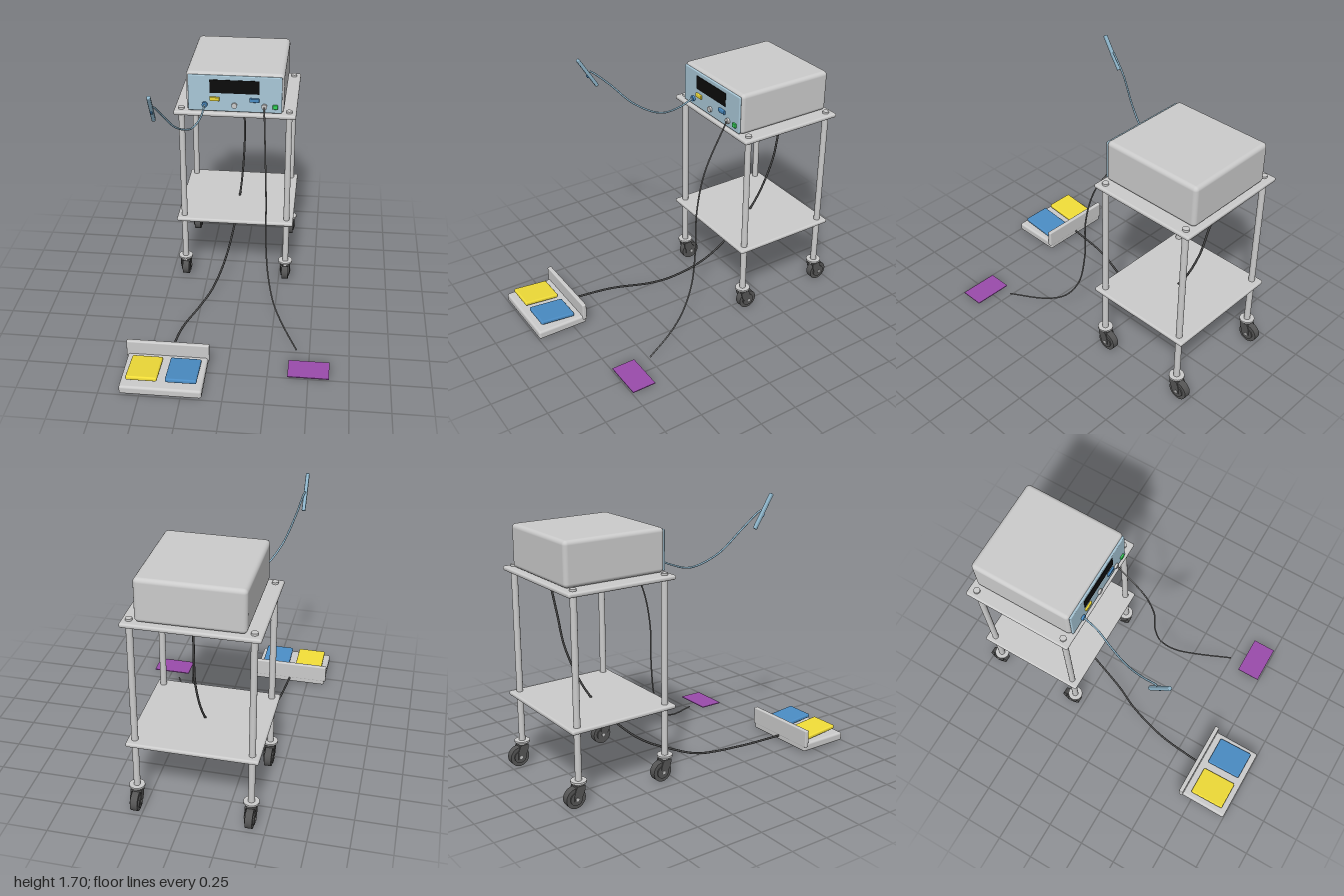
import * as THREE from 'three';
import { RoundedBoxGeometry } from 'three/addons/geometries/RoundedBoxGeometry.js';

const mat = (color) => new THREE.MeshStandardMaterial({ color });
const grey = mat(0xcccccc), panelBlue = mat(0xa9c8d8), blue = mat(0x4a8cc4), yellow = mat(0xf0dc38);
const black = mat(0x0c0c0c), green = mat(0x35d85c), purple = mat(0x9a4bab), dark = mat(0x555555);
const cordDark = mat(0x4a4a4a), cordGrey = mat(0x777777), steelBlue = mat(0x8fb6cb);

function add(parent, name, geometry, material, x = 0, y = 0, z = 0) {
  const mesh = new THREE.Mesh(geometry, material);
  mesh.name = name;
  mesh.position.set(x, y, z);
  parent.add(mesh);
  return mesh;
}

// Box given by its extents on each axis; r rounds the edges
function block(parent, name, material, [x0, x1], [y0, y1], [z0, z1], r = 0) {
  const s = [x1 - x0, y1 - y0, z1 - z0];
  const g = r ? new RoundedBoxGeometry(...s, 3, r) : new THREE.BoxGeometry(...s);
  return add(parent, name, g, material, (x0 + x1) / 2, (y0 + y1) / 2, (z0 + z1) / 2);
}

function cord(parent, name, material, radius, points) {
  const curve = new THREE.CatmullRomCurve3(points.map((p) => new THREE.Vector3(...p)));
  add(parent, name, new THREE.TubeGeometry(curve, 80, radius, 8), material);
}

// Swivel caster with its origin on the floor below the pole
function caster() {
  const g = new THREE.Group();
  g.name = 'caster';
  add(g, 'casterPlate', new THREE.CylinderGeometry(0.048, 0.048, 0.012, 24), grey, 0, 0.16, 0);
  add(g, 'casterSwivel', new THREE.CylinderGeometry(0.026, 0.026, 0.03, 20), grey, 0, 0.142, 0);
  const axle = [0, 0.063, -0.03];
  const across = (r, w) => new THREE.CylinderGeometry(r, r, w, 32).rotateZ(Math.PI / 2);
  add(g, 'wheel', across(0.063, 0.044), dark, ...axle);
  add(g, 'wheelHub', across(0.04, 0.06), dark, ...axle);
  add(g, 'wheelAxle', across(0.01, 0.076), grey, ...axle);
  // Fork cheeks sweep back from the swivel to the axle
  const cheek = new THREE.Shape();
  cheek.moveTo(-0.026, 0.14);
  cheek.lineTo(0.026, 0.14);
  cheek.quadraticCurveTo(0.03, 0.09, -0.014, 0.048);
  cheek.lineTo(-0.046, 0.048);
  cheek.quadraticCurveTo(-0.05, 0.1, -0.026, 0.14);
  const cheekGeo = new THREE.ExtrudeGeometry(cheek, { depth: 0.006, bevelEnabled: false, curveSegments: 8 })
    .translate(0, 0, -0.003).rotateY(-Math.PI / 2);
  for (const s of [-1, 1]) add(g, 'forkCheek', cheekGeo, dark, s * 0.031, 0, 0);
  block(g, 'forkBridge', dark, [-0.034, 0.034], [0.126, 0.138], [-0.028, 0.024]);
  return g;
}

function cart() {
  const g = new THREE.Group();
  g.name = 'cart';
  for (const y of [1.264, 0.466])
    block(g, 'shelf', grey, [-0.45, 0.34], [y, y + 0.028], [-0.965, -0.25], 0.012);
  for (const x of [-0.403, 0.295]) for (const z of [-0.303, -0.91]) {
    add(g, 'pole', new THREE.CylinderGeometry(0.02, 0.02, 1.145, 24), grey, x, 0.7325, z);
    const c = caster();
    c.position.set(x, 0, z);
    g.add(c);
  }
  return g;
}

function generator() {
  const g = new THREE.Group();
  g.name = 'generator';
  block(g, 'housing', grey, [-0.366, 0.261], [1.293, 1.56], [-0.937, -0.274], 0.026);
  block(g, 'frontPanel', panelBlue, [-0.353, 0.249], [1.3, 1.546], [-0.277, -0.262], 0.007);
  block(g, 'display', black, [-0.213, 0.105], [1.428, 1.518], [-0.27, -0.259]);
  block(g, 'yellowButton', yellow, [-0.213, -0.15], [1.374, 1.401], [-0.268, -0.25], 0.005);
  block(g, 'blueButton', blue, [0.041, 0.105], [1.374, 1.401], [-0.268, -0.25], 0.005);
  block(g, 'powerLamp', green, [0.19, 0.223], [1.332, 1.36], [-0.268, -0.25], 0.004);
  for (const [x, m] of [[-0.245, blue], [-0.055, grey], [0.137, grey]])
    add(g, 'socket', new THREE.CylinderGeometry(0.018, 0.018, 0.018, 24).rotateX(Math.PI / 2), m, x, 1.347, -0.257);
  return g;
}

function footSwitch() {
  const g = new THREE.Group();
  g.name = 'footSwitch';
  block(g, 'pedalBase', grey, [-0.622, -0.122], [0.003, 0.06], [0.656, 0.997], 0.015);
  block(g, 'pedalGuard', grey, [-0.632, -0.114], [0.035, 0.152], [0.655, 0.684], 0.008);
  for (const [x, m] of [[-0.49, yellow], [-0.251, blue]]) {
    const p = add(g, 'pedal', new RoundedBoxGeometry(0.19, 0.027, 0.235, 3, 0.01), m, x, 0.084, 0.843);
    p.rotation.x = -0.1;
    block(g, 'pedalPivot', grey, [x - 0.06, x + 0.06], [0.055, 0.075], [0.76, 0.8]);
  }
  return g;
}

function handpiece() {
  const g = new THREE.Group();
  g.name = 'handpiece';
  add(g, 'handle', new RoundedBoxGeometry(0.023, 0.238, 0.022, 3, 0.006), steelBlue);
  add(g, 'handleButton', new RoundedBoxGeometry(0.012, 0.022, 0.012, 2, 0.003), blue, 0, -0.02, 0.013);
  g.position.set(-0.464, 1.597, 0.38);
  g.rotation.x = 0.56;
  return g;
}

export function createModel() {
  const model = new THREE.Group();
  model.name = 'electrosurgicalCart';
  model.add(cart(), generator(), footSwitch(), handpiece());
  block(model, 'returnPad', purple, [0.373, 0.628], [0.002, 0.008], [0.587, 0.743]);

  cord(model, 'handpieceCord', steelBlue, 0.006, [
    [-0.462, 1.605, 0.365], [-0.455, 1.59, 0.343], [-0.43, 1.5, 0.247], [-0.37, 1.35, 0.105],
    [-0.30, 1.277, -0.045], [-0.258, 1.303, -0.155], [-0.245, 1.347, -0.25]]);
  cord(model, 'returnPadCord', cordGrey, 0.005, [
    [0.137, 1.347, -0.25], [0.162, 1.05, -0.075], [0.175, 0.79, -0.01], [0.178, 0.5, 0],
    [0.2, 0.257, 0.043], [0.245, 0.11, 0.14], [0.31, 0.048, 0.27], [0.42, 0.016, 0.5]]);
  cord(model, 'footSwitchCord', cordDark, 0.007, [
    [-0.055, 1.27, -0.863], [-0.042, 1.06, -0.815], [-0.035, 0.82, -0.76], [-0.052, 0.5, -0.61],
    [-0.115, 0.177, -0.316], [-0.185, 0.054, -0.075], [-0.25, 0.012, 0.075],
    [-0.335, 0.022, 0.35], [-0.372, 0.032, 0.66]]);
  return model;
}
